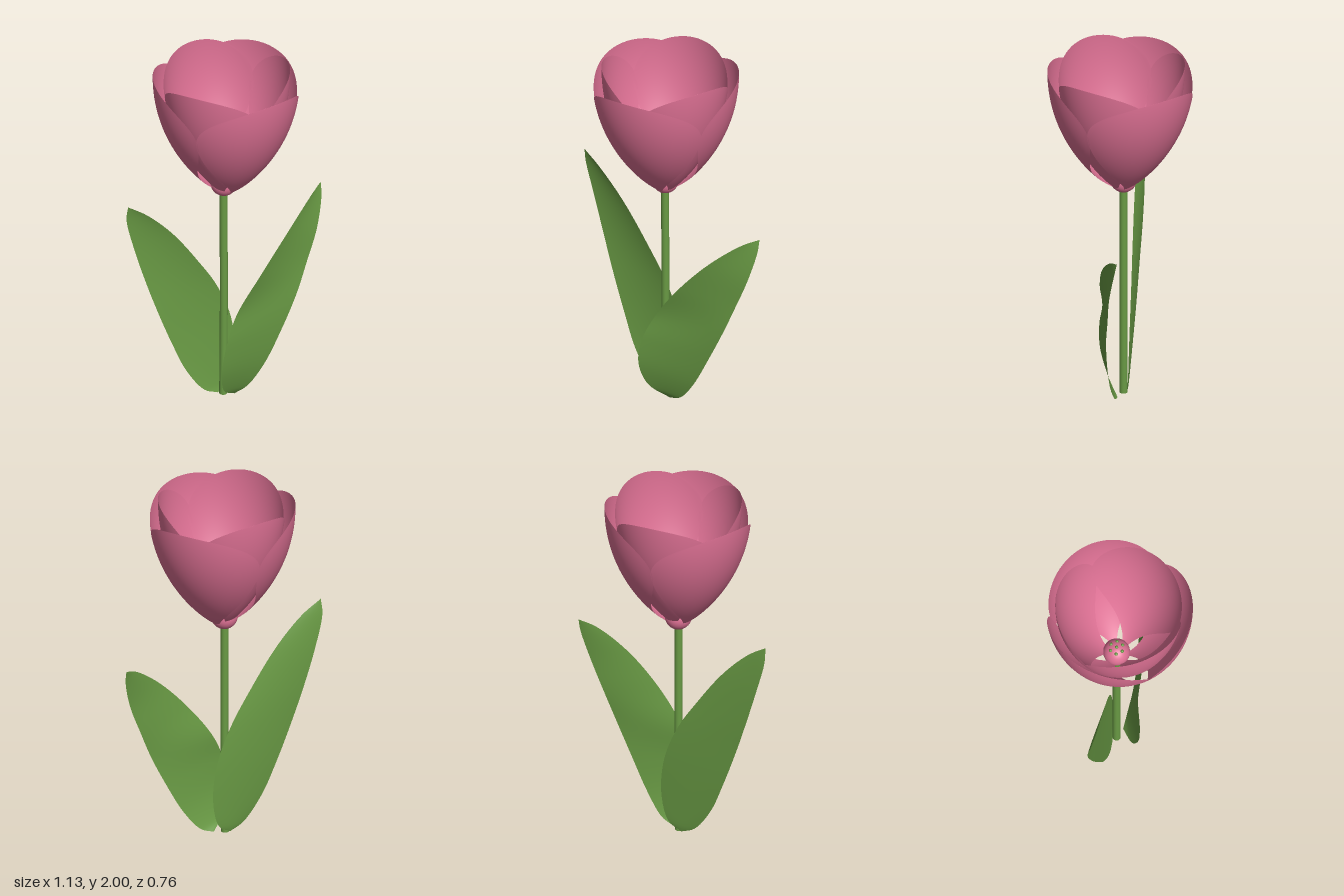
import * as THREE from 'three';

const pink = new THREE.MeshStandardMaterial({ color: 0xdc7093, side: THREE.DoubleSide });
pink.name = 'petal pink';
const green = new THREE.MeshStandardMaterial({ color: 0x699a44, side: THREE.DoubleSide });
green.name = 'leaf green';

// Smooth sheet from a rule: u runs -1..1 across, v runs 0..1 along
function sheet(nu, nv, rule) {
  const pos = [], idx = [];
  for (let j = 0; j <= nv; j++)
    for (let i = 0; i <= nu; i++) pos.push(...rule((i / nu) * 2 - 1, j / nv));
  for (let j = 0; j < nv; j++)
    for (let i = 0; i < nu; i++) {
      const a = j * (nu + 1) + i, b = a + nu + 1;
      idx.push(a, a + 1, b + 1, a, b + 1, b);
    }
  const g = new THREE.BufferGeometry();
  g.setAttribute('position', new THREE.Float32BufferAttribute(pos, 3));
  g.setIndex(idx);
  g.computeVertexNormals();
  return g;
}

function add(parent, name, geometry, material, x = 0, y = 0, z = 0) {
  const m = new THREE.Mesh(geometry, material);
  m.name = name;
  m.position.set(x, y, z);
  parent.add(m);
  return m;
}

// Cupped petal: narrow at the base, widest at yWide, elliptical top edge
function petal(radius, yWide, yTop, halfAngle) {
  const y0 = 1.24, split = 0.55;
  return sheet(28, 44, (u, v) => {
    let y, f;
    if (v < split) {
      const s = v / split;
      y = y0 + (yWide - y0) * s;
      f = 0.1 + 0.9 * Math.sin((Math.PI / 2) * Math.pow(s, 0.88));
    } else {
      const p = ((v - split) / (1 - split)) * (Math.PI / 2);
      y = yWide + (yTop - yWide) * Math.sin(p);
      f = Math.cos(p);
    }
    const s = (y - y0) / (yTop - y0);
    const r = radius * Math.sin((Math.PI / 2) * Math.pow(s, 0.77));
    const a = u * f * halfAngle;
    return [r * Math.sin(a), y, r * Math.cos(a)];
  });
}

// Leaf blade stretched between two edge curves, slightly cupped
function leaf(left, right, cup) {
  const curve = (pts) => new THREE.CatmullRomCurve3(pts.map((p) => new THREE.Vector3(...p)));
  const a = curve(left), b = curve(right);
  return sheet(12, 48, (u, v) => {
    const p = a.getPoint(v).lerp(b.getPoint(v), (u + 1) / 2);
    return [p.x, p.y, p.z + cup * (1 - u * u) * Math.sin(Math.PI * v)];
  });
}

export function createModel() {
  const model = new THREE.Group();
  model.name = 'tulip';
  const cx = -0.026, cz = -0.021;

  // Stem
  const stemPath = new THREE.CatmullRomCurve3([
    new THREE.Vector3(-0.03, 0.01, cz),
    new THREE.Vector3(-0.026, 0.6, cz),
    new THREE.Vector3(-0.028, 1.25, cz),
  ]);
  add(model, 'stem', new THREE.TubeGeometry(stemPath, 16, 0.021, 20), green);
  add(model, 'stemFoot', new THREE.CircleGeometry(0.021, 20).rotateX(Math.PI / 2), green, -0.03, 0.01, cz);

  // Petals: three outer and three inner, alternating
  const flower = new THREE.Group();
  flower.name = 'flower';
  flower.position.set(-0.019, 0, -0.008);
  model.add(flower);
  const outer = petal(0.386, 1.72, 1.96, 1.06);
  const inner = petal(0.335, 1.74, 2.0, 1.09);
  for (let i = 0; i < 3; i++) {
    const turn = (i * Math.PI * 2) / 3;
    add(flower, 'outerPetal', outer, pink).rotation.y = turn;
    add(flower, 'innerPetal', inner, pink).rotation.y = turn + Math.PI;
  }

  // Flower heart with seven small seeds
  add(model, 'heart', new THREE.SphereGeometry(0.071, 32, 20), pink, cx, 1.302, cz);
  const seed = new THREE.SphereGeometry(0.009, 12, 8);
  add(model, 'seed', seed, green, cx, 1.373, cz);
  for (let i = 0; i < 6; i++) {
    const a = (i * Math.PI) / 3;
    add(model, 'seed', seed, green, cx + 0.035 * Math.cos(a), 1.364, cz + 0.035 * Math.sin(a));
  }

  // Front leaf, leaning to +x
  add(model, 'frontLeaf', leaf(
    [[0.02, 0.005, 0.01], [-0.08, 0.08, 0.06], [-0.12, 0.22, 0.1], [-0.095, 0.38, 0.105], [-0.02, 0.54, 0.09],
      [0.12, 0.74, 0.105], [0.3, 0.94, 0.095], [0.47, 1.08, 0.055], [0.56, 1.125, 0.02]],
    [[0.02, 0.005, 0.01], [0.09, 0.035, 0.025], [0.18, 0.15, 0.05], [0.28, 0.34, 0.068], [0.37, 0.53, 0.075],
      [0.44, 0.7, 0.068], [0.51, 0.88, 0.06], [0.555, 1.05, 0.035], [0.56, 1.125, 0.02]],
    -0.008), green);

  // Back leaf, taller and leaning to -x
  add(model, 'backLeaf', leaf(
    [[-0.05, 0.01, -0.04], [-0.13, 0.05, -0.048], [-0.23, 0.19, -0.068], [-0.31, 0.38, -0.09], [-0.39, 0.6, -0.11],
      [-0.455, 0.8, -0.127], [-0.52, 1.02, -0.138], [-0.565, 1.2, -0.135], [-0.565, 1.285, -0.12]],
    [[-0.05, 0.01, -0.04], [0.02, 0.06, -0.043], [0.06, 0.22, -0.046], [0.04, 0.44, -0.053], [-0.04, 0.65, -0.062],
      [-0.15, 0.83, -0.07], [-0.31, 1.055, -0.083], [-0.46, 1.21, -0.1], [-0.565, 1.285, -0.12]],
    -0.01), green);

  return model;
}
